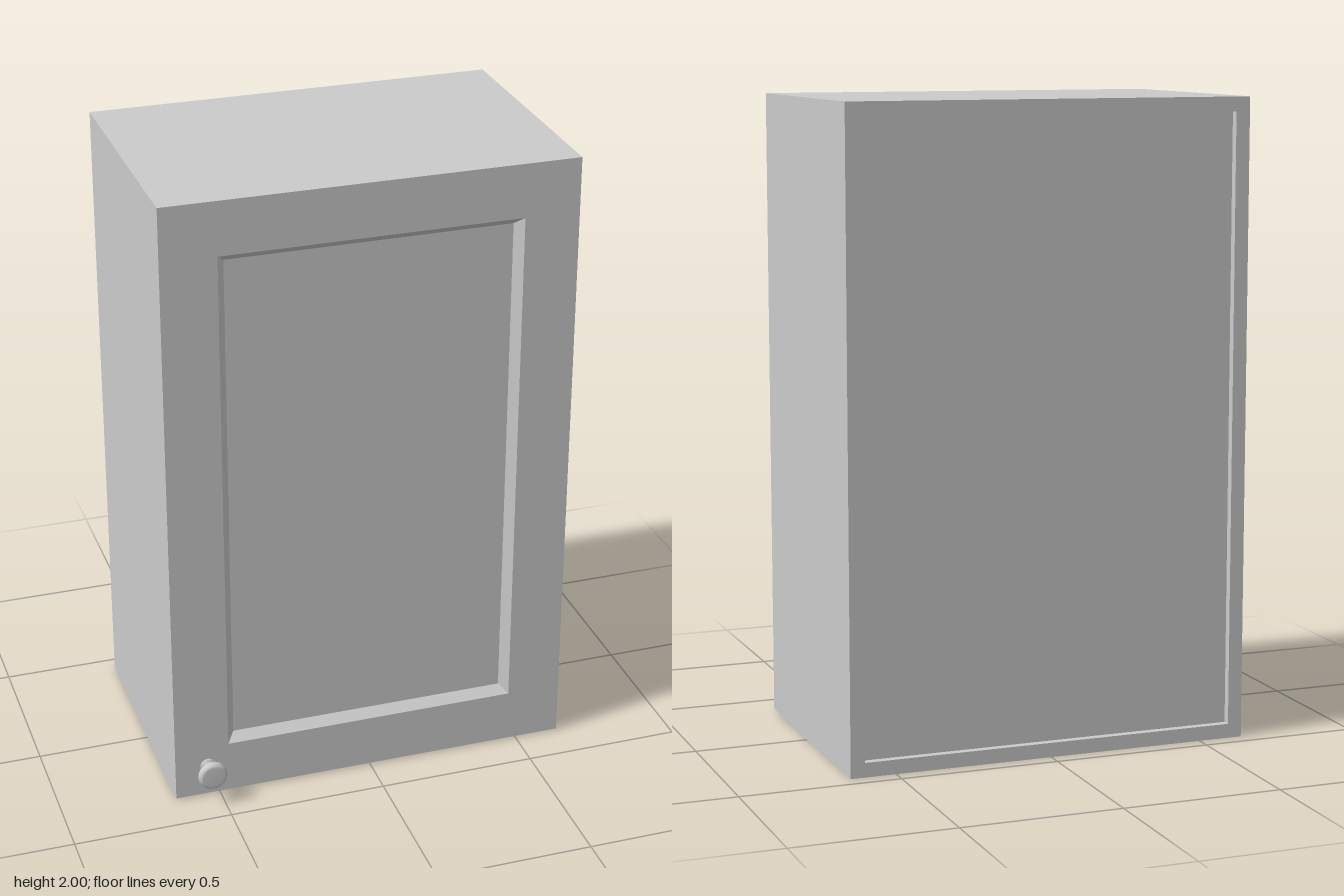
import * as THREE from 'three';

const grey = new THREE.MeshStandardMaterial({ color: 0xcccccc });

// Four corners of a rectangle at depth z, counter-clockwise seen from the front
const rect = (halfW, y0, y1, z) => [
  [-halfW, y0, z], [halfW, y0, z], [halfW, y1, z], [-halfW, y1, z],
];

// Stitch rectangles into flat-faced walls, optionally capping the first and last
function stitch(loops, capped) {
  const pos = [];
  const quad = (a, b, c, d) => pos.push(...a, ...b, ...c, ...a, ...c, ...d);
  for (let i = 0; i < loops.length - 1; i++) {
    const a = loops[i], b = loops[i + 1];
    for (let k = 0; k < 4; k++) {
      const n = (k + 1) % 4;
      quad(a[k], a[n], b[n], b[k]);
    }
  }
  if (capped) {
    quad(...[...loops[0]].reverse());
    quad(...loops[loops.length - 1]);
  }
  const geo = new THREE.BufferGeometry();
  geo.setAttribute('position', new THREE.Float32BufferAttribute(pos, 3));
  geo.computeVertexNormals();
  return geo;
}

export function createModel() {
  const group = new THREE.Group();
  const add = (name, geo, x = 0, y = 0, z = 0) => {
    const mesh = new THREE.Mesh(geo, grey);
    mesh.name = name;
    mesh.position.set(x, y, z);
    group.add(mesh);
    return mesh;
  };

  const W = 0.643, H = 2, wall = 0.045;
  const back = -0.45, seam = 0.32, front = 0.37;

  // Hollow carcass: two sides, top and bottom
  const backRim = rect(W, 0, H, back);
  add('carcass', stitch([
    backRim,
    rect(W, 0, H, seam),
    rect(W - wall, wall, H - wall, seam),
    rect(W - wall, wall, H - wall, back),
    backRim,
  ], false));

  // Back panel, set in from the rear edge
  add('backPanel', new THREE.BoxGeometry(2 * (W - wall), H - 2 * wall, 0.02),
    0, H / 2, back + 0.035);

  // Door with a bevelled recess around its centre panel
  add('door', stitch([
    rect(W, 0.005, H, seam),
    rect(W, 0.005, H, front),
    rect(0.47, 0.175, 1.83, front),
    rect(0.445, 0.2, 1.805, front - 0.03),
  ], true));

  // Turned knob: base flange, flared neck, rounded head
  const profile = [
    [0, 0], [0.025, 0], [0.025, 0.006], [0.022, 0.009], [0.015, 0.011],
    [0.014, 0.02], [0.016, 0.032], [0.021, 0.042], [0.027, 0.047],
    [0.04, 0.048], [0.045, 0.052], [0.047, 0.06], [0.045, 0.067],
    [0.04, 0.072], [0.034, 0.074], [0, 0.074],
  ].map(([r, y]) => new THREE.Vector2(r, y));
  add('knob', new THREE.LatheGeometry(profile, 32), -0.538, 0.11, front)
    .rotation.x = Math.PI / 2;

  return group;
}
